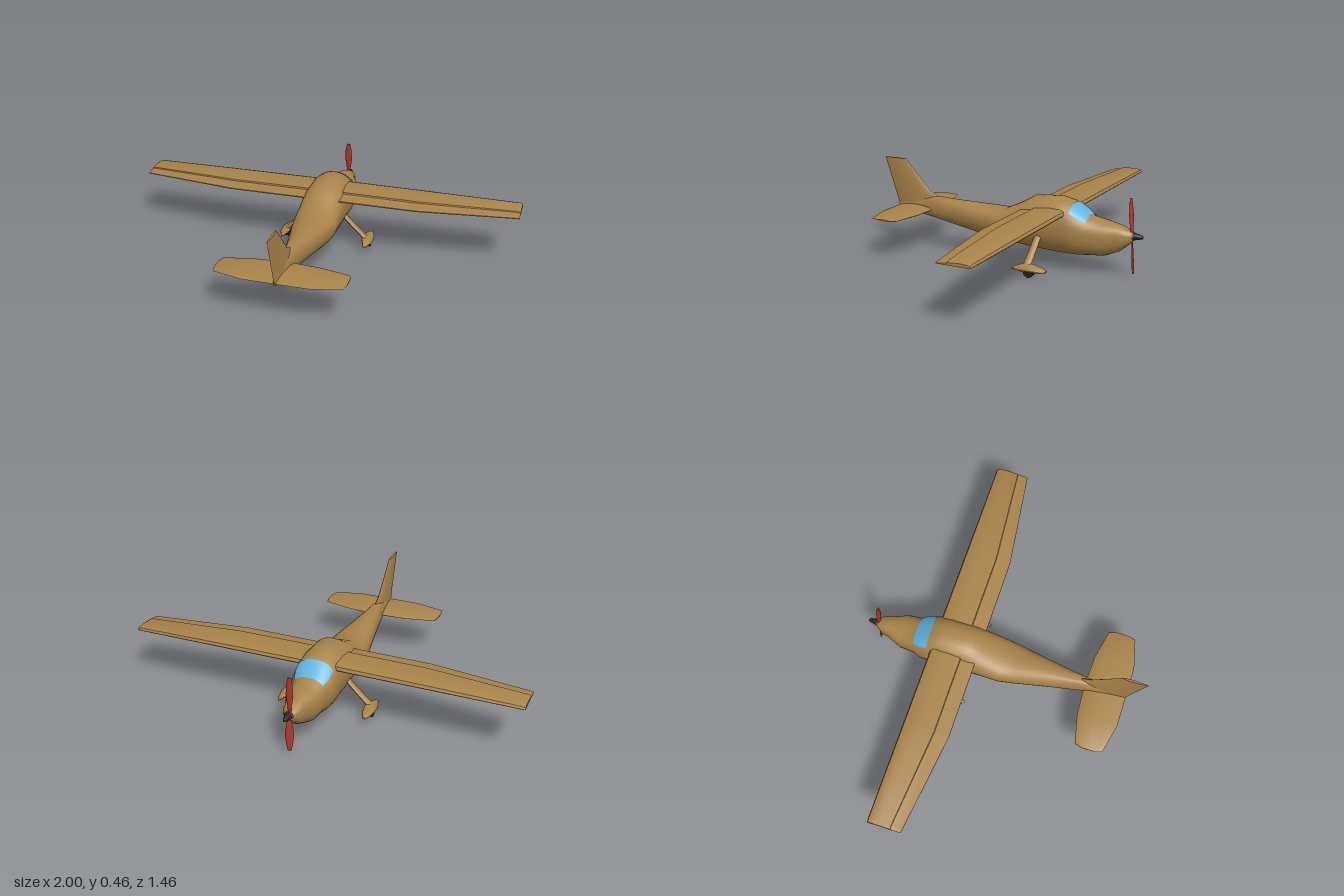
import * as THREE from 'three';
import { toCreasedNormals } from 'three/addons/utils/BufferGeometryUtils.js';

const paint = (color) => new THREE.MeshStandardMaterial({ color });
const tan = paint(0xa8834a), red = paint(0xb03a30), black = paint(0x2a2222), glass = paint(0x62b4e0);

// Joins equal-length rings of [x, y, z] into a capped solid facing outwards
function loft(rings, crease = 0.7) {
  const n = rings[0].length, pos = rings.flat(2), idx = [];
  rings.forEach((ring, r) => {
    if (r === rings.length - 1) return;
    for (let i = 0; i < n; i++) {
      const a = r * n + i, b = r * n + (i + 1) % n;
      idx.push(a, b, a + n, b, b + n, a + n);
    }
  });
  [[0, true], [rings.length - 1, false]].forEach(([r, flip]) => {
    const c = pos.length / 3;
    for (let k = 0; k < 3; k++) pos.push(rings[r].reduce((s, p) => s + p[k], 0) / n);
    for (let i = 0; i < n; i++) {
      const a = r * n + i, b = r * n + (i + 1) % n;
      if (flip) idx.push(b, a, c); else idx.push(a, b, c);
    }
  });
  // Signed volume decides the winding
  const v = (i) => new THREE.Vector3().fromArray(pos, i * 3);
  let volume = 0;
  for (let i = 0; i < idx.length; i += 3) volume += v(idx[i]).dot(v(idx[i + 1]).cross(v(idx[i + 2])));
  if (volume < 0) idx.reverse();
  const g = new THREE.BufferGeometry();
  g.setAttribute('position', new THREE.Float32BufferAttribute(pos, 3));
  g.setIndex(idx);
  return toCreasedNormals(g, crease);
}

function ellipse(n, fn) {
  return Array.from({ length: n }, (_, i) => {
    const t = (i / n) * Math.PI * 2;
    return fn(Math.cos(t), Math.sin(t));
  });
}

// Fuselage stations: z, bottom, widest height, top, half width
const stations = [
  [-0.685, 0.185, 0.205, 0.222, 0.018],
  [-0.65, 0.152, 0.2, 0.24, 0.045],
  [-0.615, 0.122, 0.2, 0.253, 0.05],
  [-0.54, 0.092, 0.195, 0.266, 0.083],
  [-0.465, 0.086, 0.2, 0.28, 0.088],
  [-0.425, 0.082, 0.21, 0.308, 0.107],
  [-0.37, 0.08, 0.22, 0.345, 0.112],
  [-0.3, 0.08, 0.23, 0.36, 0.112],
  [-0.165, 0.088, 0.23, 0.35, 0.112],
  [-0.11, 0.093, 0.225, 0.317, 0.112],
  [0, 0.102, 0.205, 0.264, 0.11],
  [0.08, 0.11, 0.205, 0.268, 0.096],
  [0.25, 0.136, 0.21, 0.272, 0.063],
  [0.42, 0.163, 0.215, 0.278, 0.032],
  [0.53, 0.18, 0.21, 0.25, 0.02],
  [0.64, 0.195, 0.208, 0.222, 0.005],
];
const bend = (c) => Math.sign(c) * Math.abs(c) ** 0.88;

// Point on the fuselage skin, grown outwards by a small amount
function skin([z, yb, ym, yt, w], c, s, grow = 0) {
  return [(w + grow) * bend(c), ym + ((s > 0 ? yt - ym : ym - yb) + grow) * bend(s), z];
}

function stationAt(z) {
  const i = stations.findIndex((s) => s[0] >= z);
  const a = stations[i - 1], b = stations[i], t = (z - a[0]) / (b[0] - a[0]);
  return a.map((v, k) => v + (b[k] - v) * t);
}

// Windscreen strip lying on the skin
function windscreen() {
  const cols = 16, zs = [-0.463, -0.425, -0.382], pos = [], idx = [];
  zs.forEach((z) => {
    for (let i = 0; i <= cols; i++) {
      const t = Math.PI / 2 + (i / cols - 0.5) * 1.75;
      pos.push(...skin(stationAt(z), Math.cos(t), Math.sin(t), 0.004));
    }
  });
  for (let r = 0; r < zs.length - 1; r++) for (let i = 0; i < cols; i++) {
    const a = r * (cols + 1) + i, b = a + cols + 1;
    idx.push(a, a + 1, b, a + 1, b + 1, b);
  }
  const g = new THREE.BufferGeometry();
  g.setAttribute('position', new THREE.Float32BufferAttribute(pos, 3));
  g.setIndex(idx);
  g.computeVertexNormals();
  return g;
}

// Flat-bottomed wing section with a shallow step at the flap line
const foil = [[0, 0.25], [0.03, 0.7], [0.12, 0.92], [0.35, 1], [0.68, 0.78], [0.69, 0.55],
  [1, 0.25], [1, 0.08], [0.5, 0], [0.1, 0], [0.02, 0.08]];
const wingRing = ([x, front, back, y0, y1]) =>
  foil.map(([u, v]) => [x, y0 + (y1 - y0) * v, front + (back - front) * u]);

// Symmetric tail section
const tailFoil = ellipse(14, (c, s) => [0.5 - c / 2, s * (c > 0 ? 1 : 1 + c * 0.5)]);

export function createModel() {
  const model = new THREE.Group();
  const add = (name, geometry, material = tan, parent = model) => {
    const m = new THREE.Mesh(geometry, material);
    m.name = name;
    parent.add(m);
    return m;
  };

  add('fuselage', loft(stations.map((st) => ellipse(32, (c, s) => skin(st, c, s))), 0.9));
  const screen = add('windscreen', windscreen(), glass.clone());
  screen.material.side = THREE.DoubleSide;

  // High wing, straight inboard and tapered outboard
  const half = [[0.1, -0.36, -0.125, 0.283, 0.317], [0.49, -0.36, -0.125, 0.283, 0.315],
    [0.985, -0.36, -0.188, 0.284, 0.308], [1, -0.358, -0.19, 0.284, 0.3]];
  const mirrored = half.map(([x, ...rest]) => [-x, ...rest]).reverse();
  add('wing', loft([...mirrored, ...half].map(wingRing), 0.5));

  // Tailplane: x, front, back, half thickness
  const tail = [[0, 0.425, 0.64, 0.018], [0.16, 0.433, 0.64, 0.013], [0.31, 0.465, 0.605, 0.007],
    [0.32, 0.5, 0.57, 0.004]];
  const tailAll = [...tail.slice(1).map(([x, ...r]) => [-x, ...r]).reverse(), ...tail];
  add('tailplane', loft(tailAll.map(([x, f, b, h]) =>
    tailFoil.map(([u, v]) => [x, 0.208 + v * h, f + (b - f) * u]))));

  // Fin with a sloping fillet: y, front, back, half thickness
  const fin = [[0.2, 0.43, 0.64, 0.018], [0.265, 0.38, 0.659, 0.016], [0.303, 0.45, 0.672, 0.012],
    [0.46, 0.597, 0.725, 0.006]];
  add('fin', loft(fin.map(([y, f, b, h]) =>
    tailFoil.map(([u, v]) => [v * h, y, f + (b - f) * u]))));

  // Main landing gear on both sides
  for (const side of [1, -1]) {
    const gear = new THREE.Group();
    gear.name = side > 0 ? 'leftGear' : 'rightGear';
    model.add(gear);
    const leg = [[0.08, 0.185, 0.018], [0.15, 0.115, 0.019], [0.222, 0.048, 0.022]];
    add('leg', loft(leg.map(([x, y, r]) =>
      ellipse(12, (c, s) => [side * (x + s * 0.008), y + s * 0.008, -0.222 + c * r]))), tan, gear);

    // Wheel fairing: z, half width, bottom, top
    const pod = [[-0.33, 0.006, 0.034, 0.044], [-0.3, 0.02, 0.03, 0.052], [-0.25, 0.028, 0.028, 0.062],
      [-0.2, 0.026, 0.028, 0.06], [-0.145, 0.006, 0.032, 0.04]];
    add('wheelFairing', loft(pod.map(([z, w, b, t]) =>
      ellipse(14, (c, s) => [side * (0.224 + c * w), (b + t) / 2 + s * (t - b) / 2 - c * w * 0.25, z]))), tan, gear);

    const wheel = add('wheel', new THREE.CylinderGeometry(0.026, 0.026, 0.026, 20), black, gear);
    wheel.rotation.z = Math.PI / 2;
    wheel.position.set(side * 0.225, 0.026, -0.238);
  }

  // Two-bladed propeller, slightly raked
  const propeller = new THREE.Group();
  propeller.name = 'propeller';
  propeller.position.set(0, 0.205, -0.674);
  propeller.rotation.x = 0.06;
  model.add(propeller);
  const blade = [[0, 0.009, 0.3], [0.04, 0.012, 0.3], [0.1, 0.021, 0.2], [0.15, 0.017, 0.1], [0.186, 0.01, 0.05]];
  for (const dir of [1, -1]) {
    add('blade', loft(blade.map(([r, w, twist]) => ellipse(10, (c, s) =>
      [c * w, dir * r, s * 0.004 + dir * c * w * twist]))), red, propeller);
  }

  // Spinner with its backing plate
  const spinner = add('spinner', new THREE.LatheGeometry(
    [[0.019, 0], [0.016, 0.02], [0.01, 0.045], [0.007, 0.052], [0, 0.053]].map((p) => new THREE.Vector2(...p)), 20), black);
  spinner.rotation.x = -Math.PI / 2;
  spinner.position.set(0, 0.205, -0.677);
  const plate = add('spinnerPlate', new THREE.CylinderGeometry(0.022, 0.024, 0.012, 20), red);
  plate.rotation.x = -Math.PI / 2;
  plate.position.set(0, 0.205, -0.677);

  return model;
}
